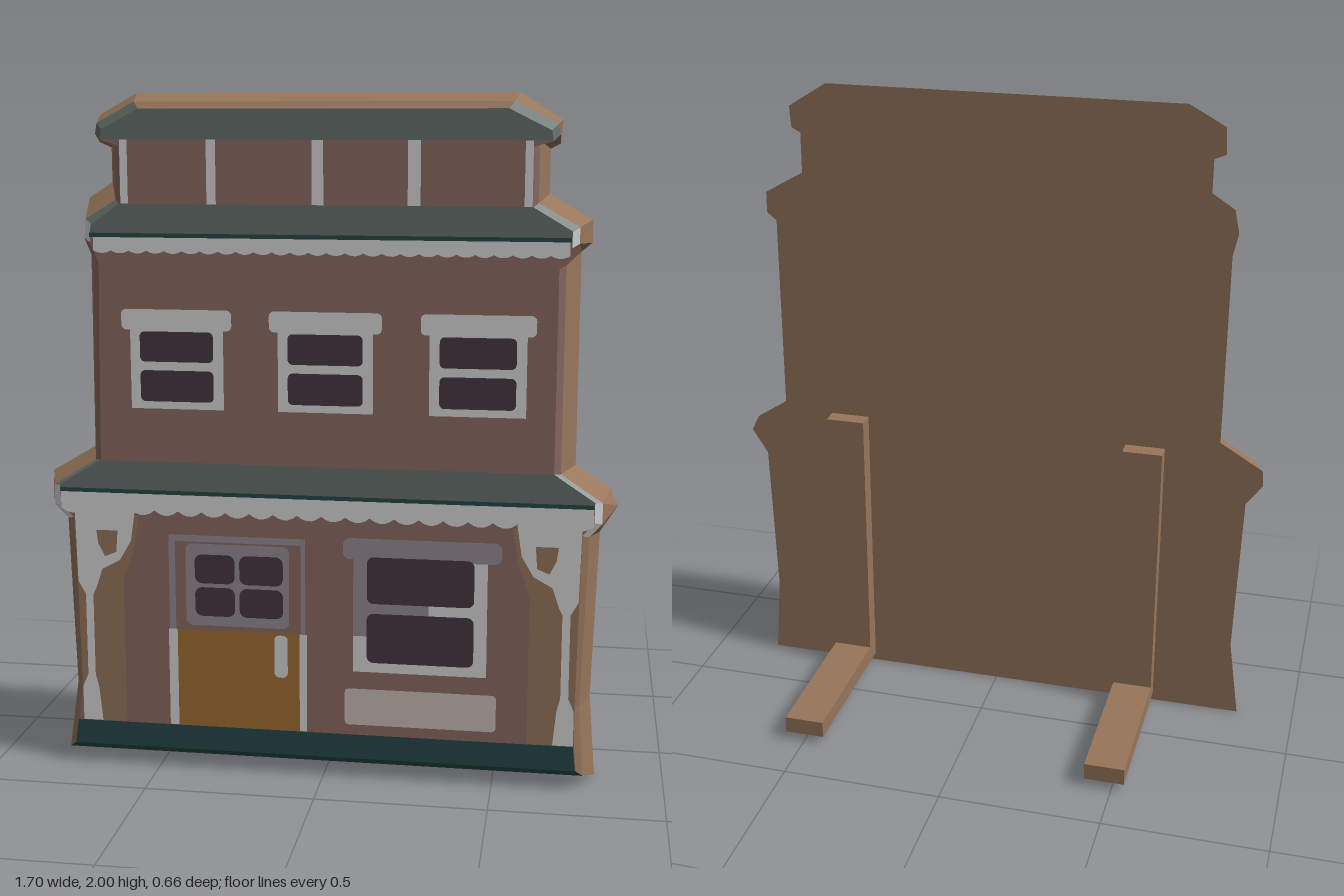
import * as THREE from 'three';

const mat = (name, color) => {
  const m = new THREE.MeshStandardMaterial({ color });
  m.name = name;
  return m;
};

export function createModel() {
  const M = {
    wood: mat('wood', 0x98765b), brick: mat('brick', 0x8c6a64), white: mat('white trim', 0xdadada),
    green: mat('roof green', 0x66706a), teal: mat('base teal', 0x254646), pane: mat('window dark', 0x46373f),
    door: mat('door ochre', 0xa17030), cream: mat('sign cream', 0xd0c0b7), grey: mat('shaded trim', 0x978b92),
  };
  const group = new THREE.Group();
  group.name = 'townhouse standee';
  const add = (name, geo, m, parent = group) => {
    const mesh = new THREE.Mesh(geo, m);
    mesh.name = name;
    parent.add(mesh);
    return mesh;
  };

  // Edge profile from bottom to top: back x, y, then front x, y
  const right = [
    [.80, 0, .765, .04], [.78, .25, .75, .25], [.795, .75, .765, .76], [.845, .83, .80, .80], [.82, .88, .80, .86],
    [.72, .945, .68, .94], [.72, 1.56, .68, 1.53], [.75, 1.585, .715, 1.59], [.75, 1.65, .715, 1.635],
    [.627, 1.72, .60, 1.70], [.627, 1.845, .60, 1.87], [.655, 1.86, .655, 1.885], [.66, 1.925, .65, 1.915], [.54, 2, .53, 1.975],
  ];
  const left = [
    [-.82, 0, -.785, .04], [-.785, .25, -.755, .25], [-.80, .76, -.77, .76], [-.85, .83, -.81, .80], [-.845, .88, -.81, .86],
    [-.71, .96, -.68, .94], [-.71, 1.56, -.67, 1.53], [-.725, 1.63, -.695, 1.59], [-.71, 1.70, -.69, 1.645],
    [-.64, 1.745, -.60, 1.70], [-.64, 1.845, -.60, 1.87], [-.675, 1.86, -.655, 1.885], [-.67, 1.94, -.65, 1.915], [-.56, 2, -.54, 1.975],
  ];
  // Bevel colour for each step of the profile
  const bevel = ['wood', 'wood', 'white', 'white', 'green', 'brick', 'brick', 'white', 'green', 'brick', 'brick', 'green', 'green'];
  const loop = [...right, ...left.slice().reverse()];
  const bevelLoop = [...bevel, 'wood', ...bevel.slice().reverse(), 'teal'];
  const FACE = .323;
  const rings = [
    loop.map(p => [p[0], p[1], .2]),
    loop.map(p => [p[2], p[3], .31]),
    loop.map(p => [p[2] * .972, 1 + (p[3] - 1) * .98, FACE]),
  ];

  // Strip of flat quads between two rings, limited to the chosen steps
  const strip = (a, b, pick) => {
    const v = [];
    a.forEach((p, i) => {
      if (!pick(i)) return;
      const j = (i + 1) % a.length;
      v.push(...p, ...a[j], ...b[j], ...p, ...b[j], ...b[i]);
    });
    const g = new THREE.BufferGeometry();
    g.setAttribute('position', new THREE.Float32BufferAttribute(v, 3));
    g.computeVertexNormals();
    return g;
  };
  const shapeOf = pts => new THREE.Shape(pts.map(p => new THREE.Vector2(p[0], p[1])));
  add('board sides', strip(rings[0], rings[1], () => true), M.wood);
  for (const key of ['wood', 'white', 'green', 'brick', 'teal'])
    add(key + ' bevel', strip(rings[1], rings[2], i => bevelLoop[i] === key), M[key]);
  add('brick front', new THREE.ShapeGeometry(shapeOf(rings[2])).translate(0, 0, FACE), M.brick);
  const back = new THREE.ShapeGeometry(shapeOf(rings[0].map(p => [-p[0], p[1]])));
  add('board back', back.rotateY(Math.PI).translate(0, 0, .2), M.wood);

  // Flat painted pieces, stacked by layer
  const plate = (name, shape, m, layer = 1) =>
    add(name, new THREE.ShapeGeometry(shape, 5).translate(0, 0, FACE + layer * .0015), m);
  const poly = (name, pts, m, layer) => plate(name, shapeOf(pts), m, layer);
  const rect = (name, x0, x1, y0, y1, m, layer, r = 0) => {
    if (!r) return poly(name, [[x0, y0], [x1, y0], [x1, y1], [x0, y1]], m, layer);
    const s = new THREE.Shape();
    s.absarc(x1 - r, y0 + r, r, -Math.PI / 2, 0);
    s.absarc(x1 - r, y1 - r, r, 0, Math.PI / 2);
    s.absarc(x0 + r, y1 - r, r, Math.PI / 2, Math.PI);
    s.absarc(x0 + r, y0 + r, r, Math.PI, Math.PI * 1.5);
    return plate(name, s, m, layer);
  };
  // Trim band with a scalloped lower edge
  const scallops = (name, x0, x1, y0, y1, n, drop) => {
    const s = new THREE.Shape();
    const w = (x1 - x0) / n;
    s.moveTo(x0, y1);
    s.lineTo(x0, y0);
    for (let i = 0; i < n; i++) s.quadraticCurveTo(x0 + (i + .5) * w, y0 - drop * 2, x0 + (i + 1) * w, y0);
    s.lineTo(x1, y1);
    plate(name, s, M.white, 3);
  };

  // Base and roofs
  poly('porch base', [[-.762, .06], [.743, .06], [.735, .135], [-.752, .135]], M.teal, 4);
  poly('porch roof', [[-.787, .845], [.778, .845], [.778, .865], [.662, .942], [-.662, .942], [-.787, .865]], M.green, 4);
  rect('porch roof edge', -.785, .776, .845, .857, M.teal, 5);
  poly('main roof', [[-.675, 1.595], [.695, 1.595], [.695, 1.625], [.585, 1.69], [-.585, 1.69], [-.67, 1.63]], M.green, 4);
  rect('main roof edge', -.675, .695, 1.595, 1.607, M.teal, 5);
  poly('top roof', [[-.637, 1.87], [.637, 1.87], [.632, 1.897], [.515, 1.955], [-.525, 1.955], [-.632, 1.897]], M.green, 4);
  scallops('porch trim', -.785, .776, .795, .845, 22, .015);
  scallops('main trim', -.665, .69, 1.557, 1.6, 26, .008);
  for (const [x, w] of [[-.57, .022], [-.317, .027], [-.013, .033], [.258, .036], [.573, .022]])
    rect('parapet strip', x - w / 2, x + w / 2, 1.69, 1.875, M.white, 2);

  // Porch corners, mirrored
  for (const s of [-1, 1]) {
    const side = (name, pts, m, layer) => {
      const p = pts.map(([x, y]) => [s * x, y]);
      poly(name, s < 0 ? p.reverse() : p, m, layer);
    };
    side('porch side panel', [[.6, .135], [.735, .135], [.745, .78], [.55, .78], [.565, .68], [.6, .58]], M.wood, 1);
    side('porch post', [[.675, .135], [.735, .135], [.735, .24], [.718, .28], [.718, .53], [.74, .57], [.745, .8],
      [.56, .8], [.575, .7], [.61, .64], [.665, .61], [.685, .55], [.695, .53], [.695, .28], [.685, .24]], M.white, 2);
    side('bracket opening', [[.62, .665], [.655, .65], [.675, .69], [.68, .73], [.615, .73]], M.wood, 3);
  }

  // Upper windows
  for (const x of [-.425, .008, .442]) {
    rect('window frame', x - .137, x + .137, 1.1, 1.37, M.white, 2);
    rect('window hood', x - .162, x + .162, 1.33, 1.39, M.white, 3, .015);
    rect('upper pane', x - .108, x + .108, 1.238, 1.326, M.pane, 4, .015);
    rect('lower pane', x - .108, x + .108, 1.122, 1.213, M.pane, 4, .015);
  }

  // Door
  for (const [x0, x1] of [[-.465, -.438], [-.07, -.048]]) {
    rect('door jamb', x0, x1, .135, .435, M.white, 2);
    rect('shaded door jamb', x0 + .004, x1 - .004, .435, .725, M.grey, 2);
  }
  rect('door lintel', -.455, -.055, .705, .725, M.grey, 2);
  rect('door panel', -.438, -.07, .135, .435, M.door, 2);
  rect('door window frame', -.41, -.1, .45, .7, M.grey, 3, .02);
  for (const [x0, x1] of [[-.382, -.262], [-.248, -.118]])
    for (const y of [.48, .58]) rect('door pane', x0, x1, y, y + .088, M.pane, 4, .022);
  rect('door handle', -.145, -.105, .3, .43, M.white, 4, .015);

  // Shop window and sign
  rect('shop window frame', .09, .48, .33, .69, M.white, 2);
  rect('shaded frame side', .09, .14, .44, .69, M.grey, 3);
  rect('shaded frame bar', .13, .31, .5, .55, M.grey, 3);
  rect('shop window hood', .06, .52, .672, .735, M.grey, 3, .02);
  rect('shop upper pane', .13, .442, .54, .68, M.pane, 4, .02);
  rect('shop lower pane', .13, .442, .36, .51, M.pane, 4, .02);
  rect('blank sign', .065, .51, .165, .277, M.cream, 2, .012);

  // Rear stands
  for (const x of [-.477, .497]) {
    const stand = new THREE.Group();
    stand.name = 'rear stand';
    add('stand upright', new THREE.BoxGeometry(.125, .89, .06).translate(x, .475, .175), M.wood, stand);
    add('stand foot', new THREE.BoxGeometry(.125, .053, .53).translate(x, .053, -.065), M.wood, stand);
    group.add(stand);
  }
  return group;
}
